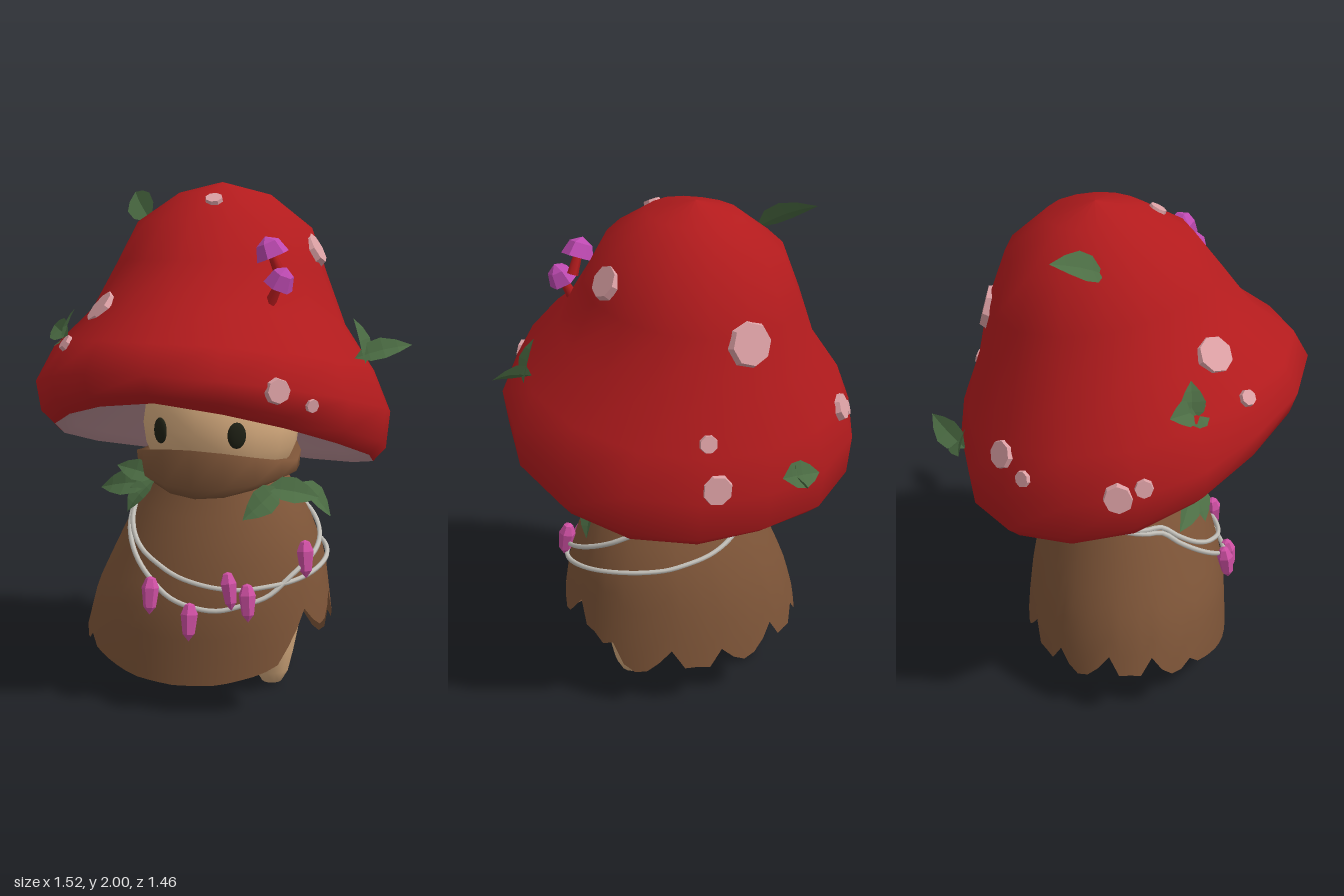
import * as THREE from 'three';

const mat = (name, color, side = THREE.FrontSide) => {
  const m = new THREE.MeshStandardMaterial({ color, side });
  m.name = name;
  return m;
};
const V = (x, y, z) => new THREE.Vector3(x, y, z);
const rad = THREE.MathUtils.degToRad;

// Linear lookup in rows of [key, ...values]
function lookup(rows, key) {
  let i = 0;
  while (i < rows.length - 2 && key > rows[i + 1][0]) i++;
  const [a, b] = [rows[i], rows[i + 1]];
  const t = THREE.MathUtils.clamp((key - a[0]) / (b[0] - a[0]), 0, 1);
  return a.slice(1).map((v, k) => v + (b[k + 1] - v) * t);
}

// Tilted elliptical ring; angle 0 faces +z, 90 degrees faces +x
function ring(n, cx, cy, cz, rx, rz, slope = 0) {
  return Array.from({ length: n }, (_, j) => {
    const a = (j / n) * Math.PI * 2;
    return V(cx + rx * Math.sin(a), cy + slope * rz * Math.cos(a), cz + rz * Math.cos(a));
  });
}

// Cap ring: narrower at the front corners, fuller at the back, sides drooping
function capRing(cx, cy, cz, rx, rz, slope = 0, droop = 0) {
  return ring(16, cx, cy, cz, rx, rz, slope).map((p, j) => {
    const a = (j / 16) * Math.PI * 2, corner = Math.sin(2 * a) ** 2;
    const k = 1 + corner * (Math.cos(a) > 0 ? -0.06 : 0.02);
    return V(cx + (p.x - cx) * k, p.y - droop * Math.abs(Math.sin(a)), cz + (p.z - cz) * k);
  });
}

// Skin through closed rings listed from top to bottom
function loft(rings) {
  const n = rings[0].length, index = [];
  for (let i = 0; i < rings.length - 1; i++)
    for (let j = 0; j < n; j++) {
      const k = (j + 1) % n, a = i * n + j, b = i * n + k, c = a + n, d = b + n;
      index.push(a, c, b, b, c, d);
    }
  const g = new THREE.BufferGeometry().setFromPoints(rings.flat());
  g.setIndex(index);
  g.computeVertexNormals();
  return g;
}

function faceted(g) {
  const f = g.toNonIndexed();
  f.computeVertexNormals();
  return f;
}
const lathe = (profile, sides) => new THREE.LatheGeometry(profile.map(([x, y]) => new THREE.Vector2(x, y)), sides);

// Robe cross-section by height: y, cx, rx, cz, rz
const ROBE = [
  [0.1, -0.05, 0.51, 0.03, 0.415], [0.22, -0.05, 0.51, 0.03, 0.41], [0.4, -0.035, 0.475, 0.035, 0.395],
  [0.55, -0.01, 0.43, 0.03, 0.36], [0.7, 0, 0.365, 0.03, 0.31], [0.8, 0, 0.31, 0.03, 0.26], [0.92, 0, 0.23, 0.03, 0.22],
];
function robePoint(deg, y, out = 0) {
  const [cx, rx, cz, rz] = lookup(ROBE, y), a = rad(deg);
  return V(cx + (rx + out) * Math.sin(a), y, cz + (rz + out) * Math.cos(a));
}

// Hem height by angle: low in front, a tall notch on the left side, ragged elsewhere
const HEM = [
  [-180, 0.17], [-120, 0.19], [-80, 0.22], [-55, 0.19], [-40, 0.16], [-20, 0.12], [0, 0.11], [20, 0.12],
  [40, 0.16], [51, 0.2], [58, 0.33], [95, 0.33], [112, 0.29], [124, 0.18], [180, 0.17],
];
const JAG = [0, -0.01, 0.06, 0.01, -0.02, -0.01, 0.03, 0.08, 0];

function robeGeometry() {
  const n = 60, rows = 9, rings = [];
  for (let i = 0; i <= rows; i++)
    rings.push(Array.from({ length: n }, (_, j) => {
      const deg = ((j * 360) / n + 180) % 360 - 180;
      const hem = lookup(HEM, deg)[0] + (Math.abs(deg) > 50 ? JAG[j % JAG.length] : 0);
      return robePoint(deg, THREE.MathUtils.lerp(0.92, hem, i / rows));
    }));
  return loft(rings);
}

export function createModel() {
  const root = new THREE.Group();
  root.name = 'mushroomSprite';
  const D = THREE.DoubleSide;
  const red = mat('capRed', 0xb31b1d), mauve = mat('gillMauve', 0xb68c92, D), pink = mat('spotPink', 0xdba0a4);
  const tan = mat('skinTan', 0xd6ab7e), brown = mat('clothBrown', 0x7e5538, D), green = mat('leafGreen', 0x4c6d44, D);
  const magenta = mat('crystalMagenta', 0xcf50a4), purple = mat('sproutPurple', 0xbe4ab2);
  const grey = mat('cordGrey', 0xc4c1ba), dark = mat('eyeDark', 0x1f2115);
  const add = (name, geo, material, parent = root) => {
    const m = new THREE.Mesh(geo, material);
    m.name = name;
    parent.add(m);
    return m;
  };

  // Cap, tilted back, and its underside
  const cap = add('cap', loft([
    capRing(-0.04, 2.0, -0.09, 0, 0),
    capRing(-0.03, 1.955, -0.085, 0.18, 0.19, 0.06),
    capRing(-0.03, 1.835, -0.075, 0.345, 0.35, 0.1),
    capRing(-0.035, 1.665, -0.055, 0.415, 0.44, 0.15),
    capRing(-0.035, 1.48, -0.015, 0.5, 0.52, 0.18),
    capRing(-0.04, 1.32, 0.03, 0.635, 0.635, 0.22),
    capRing(-0.04, 1.185, 0.05, 0.71, 0.675, 0.25, 0.015),
    capRing(-0.04, 1.075, 0.045, 0.695, 0.65, 0.315, 0.04),
    capRing(-0.04, 1.035, 0.04, 0.645, 0.59, 0.345, 0.055),
  ]), red);
  add('capUnderside', loft([
    capRing(-0.04, 1.035, 0.04, 0.645, 0.59, 0.345, 0.055),
    capRing(-0.03, 1.065, 0.04, 0.59, 0.54, 0.335, 0.05),
    capRing(-0.02, 1.19, 0.03, 0.46, 0.43, 0.25),
    capRing(-0.02, 1.28, 0.02, 0.3, 0.28, 0.15),
    capRing(0, 1.31, 0, 0, 0),
  ]), mauve);

  // Spots seated on the cap surface
  cap.updateMatrixWorld();
  const spots = new THREE.Group();
  spots.name = 'spots';
  root.add(spots);
  const caster = new THREE.Raycaster();
  [
    [-0.38, 1.54, 0.34, 0.078], [-0.46, 1.41, 0.44, 0.034], [0.01, 1.94, 0.14, 0.037], [0.39, 1.29, 0.52, 0.05],
    [0.5, 1.23, 0.43, 0.028], [0.35, 1.75, -0.09, 0.07], [-0.02, 1.57, -0.5, 0.09], [0.18, 1.24, -0.53, 0.037],
    [0.17, 1.07, -0.58, 0.063], [-0.74, 1.16, -0.02, 0.058], [-0.73, 1.2, 0.07, 0.037],
    [-0.49, 1.2, -0.44, 0.058], [-0.59, 1.15, -0.37, 0.034],
  ].forEach(([x, y, z, r]) => {
    const p = V(x, y, z), dir = V(-0.03, y - 0.1, -0.02).sub(p).normalize();
    caster.set(p.addScaledVector(dir, -0.5), dir);
    const hit = caster.intersectObject(cap)[0];
    const s = add('spot', faceted(new THREE.CylinderGeometry(r * 0.88, r, 0.026, 8)), pink, spots);
    s.position.copy(hit.point);
    s.quaternion.setFromUnitVectors(V(0, 1, 0), hit.normal.normalize());
  });

  // Head and eyes
  const head = add('head', new THREE.SphereGeometry(1, 16, 12), tan);
  head.scale.set(0.31, 0.3, 0.3);
  head.position.set(0, 1.07, 0.03);
  for (const s of [-1, 1]) {
    const eye = add('eye', new THREE.SphereGeometry(1, 10, 8), dark);
    eye.scale.set(0.036, 0.051, 0.014);
    eye.position.set(s * 0.155, 1.07, 0.288);
    eye.rotation.y = s * 0.5;
  }

  // Cowl with a pointed front and a raised back, and the ragged robe
  const peak = (pts, front, back = 0) => {
    pts.forEach((p) => {
      const t = (p.z - 0.06) / 0.3;
      p.y += (t > 0 ? front : back) * t * t;
    });
    return pts;
  };
  add('cowl', loft([
    peak(ring(16, 0, 0.945, 0.05, 0.28, 0.28, 0.1), 0.02, 0.17),
    peak(ring(16, 0, 0.945, 0.06, 0.325, 0.32, 0.11), 0.035, 0.17),
    peak(ring(16, 0, 0.9, 0.06, 0.32, 0.305, 0.03), -0.045),
    peak(ring(16, 0, 0.88, 0.05, 0.285, 0.28, 0.02), -0.08),
    ring(16, 0, 0.88, 0.03, 0.2, 0.2),
  ]), brown);
  add('robe', robeGeometry(), brown);

  // Body under the robe, with tapered legs
  const torso = add('torso', new THREE.SphereGeometry(1, 14, 10), tan);
  torso.scale.set(0.33, 0.2, 0.24);
  torso.position.set(0, 0.46, 0.01);
  const legGeo = lathe([[0, 0], [0.04, 0.012], [0.068, 0.06], [0.09, 0.15], [0.125, 0.32], [0.13, 0.45]], 12);
  for (const s of [-1, 1]) add('leg', legGeo, tan).position.set(s * 0.205, 0, 0);

  // Two cord necklaces lying on the robe
  [
    [[-65, 0.75], [-35, 0.62], [0, 0.52], [25, 0.49], [60, 0.51], [90, 0.55], [120, 0.58], [150, 0.6], [180, 0.64], [210, 0.72], [240, 0.76]],
    [[-65, 0.73], [-25, 0.54], [0, 0.43], [20, 0.415], [42, 0.46], [60, 0.55], [90, 0.62], [110, 0.67], [130, 0.73], [150, 0.76], [240, 0.77]],
  ].forEach((keys) => {
    const rows = [...keys, [295, keys[0][1]]], pts = [];
    for (let d = -65; d < 295; d += 12) pts.push(robePoint(d, lookup(rows, d)[0], 0.012));
    add('cord', new THREE.TubeGeometry(new THREE.CatmullRomCurve3(pts, true), 90, 0.01, 6, true), grey);
  });

  // Crystal pendants
  const gemGeo = faceted(lathe([[0, -0.074], [0.024, -0.045], [0.034, 0.03], [0.019, 0.066], [0, 0.074]], 6));
  [[-14, 0.455, 0.05], [7, 0.375, 0], [23, 0.495, 0.1], [32, 0.45, 0], [66, 0.585, -0.1]].forEach(([d, y, roll]) => {
    const c = add('crystal', gemGeo, magenta);
    c.position.copy(robePoint(d, y, 0.03));
    c.rotation.set(-0.15, rad(d), roll, 'YXZ');
  });

  // Pair of small sprouts on the cap
  [[0.27, 1.77, 0.25, 0.064, -0.4], [0.33, 1.665, 0.3, 0.058, 0.5]].forEach(([x, y, z, r, lean]) => {
    const sprout = new THREE.Group();
    sprout.name = 'sprout';
    const stem = add('sproutStem', new THREE.CylinderGeometry(0.015, 0.022, 0.1, 6), red, sprout);
    stem.position.y = -0.05;
    add('sproutCap', faceted(lathe([[0, -0.01], [r, -0.03], [r * 0.7, 0.025], [0, 0.05]], 6)), purple, sprout);
    sprout.position.set(x, y, z);
    sprout.quaternion.setFromUnitVectors(V(0, 1, 0), V(lean, 1, 0.1).normalize());
    root.add(sprout);
  });

  // Folded leaves: base, tip, width, upward lean of the face
  const leaves = new THREE.Group();
  leaves.name = 'leaves';
  root.add(leaves);
  [
    [[-0.33, 1.84, -0.06], [-0.48, 1.95, -0.25], 0.12, 0.7],
    [[-0.58, 1.38, 0.24], [-0.53, 1.52, 0.24], 0.1, 0.4], [[-0.56, 1.41, 0.25], [-0.66, 1.44, 0.16], 0.1, 0.5], [[-0.6, 1.39, 0.22], [-0.53, 1.41, 0.31], 0.1, 0.5],
    [[0.6, 1.34, 0.1], [0.55, 1.51, 0.1], 0.1, 0.3], [[0.56, 1.36, 0.11], [0.76, 1.41, 0.03], 0.1, 0.5],
    [[-0.17, 1.03, -0.6], [-0.07, 1.13, -0.73], 0.11, 0.6], [[-0.1, 1.06, -0.61], [-0.26, 1.05, -0.62], 0.11, 0.5],
    [[-0.19, 0.86, 0.27], [-0.44, 0.81, 0.22], 0.12, 0.4], [[-0.19, 0.87, 0.27], [-0.28, 0.75, 0.33], 0.12, 0.3], [[-0.18, 0.88, 0.26], [-0.36, 0.91, 0.24], 0.09, 0.4],
    [[0.3, 0.87, 0.22], [0.2, 0.76, 0.35], 0.11, 0.4], [[0.26, 0.87, 0.25], [0.44, 0.82, 0.14], 0.11, 0.4], [[0.32, 0.85, 0.04], [0.43, 0.7, -0.05], 0.12, 0.3],
  ].forEach(([b, t, w, lean]) => {
    const base = V(...b), along = V(...t).sub(base), len = along.length();
    const g = new THREE.PlaneGeometry(1, 1, 2, 4), p = g.attributes.position;
    for (let i = 0; i < p.count; i++) {
      const u = p.getY(i) + 0.5, half = Math.sin(Math.PI * Math.pow(u, 0.8)) * w;
      p.setXYZ(i, p.getX(i) * half, u * len, Math.abs(p.getX(i)) * half * 0.25 + 0.06 * len * Math.sin(Math.PI * u));
    }
    const leaf = add('leaf', faceted(g), green, leaves);
    const yAxis = along.normalize(), face = V(b[0], 0, b[2]).normalize().setY(lean * 1.5);
    const xAxis = yAxis.clone().cross(face).normalize();
    leaf.quaternion.setFromRotationMatrix(new THREE.Matrix4().makeBasis(xAxis, yAxis, xAxis.clone().cross(yAxis)));
    leaf.position.copy(base);
  });

  return root;
}
